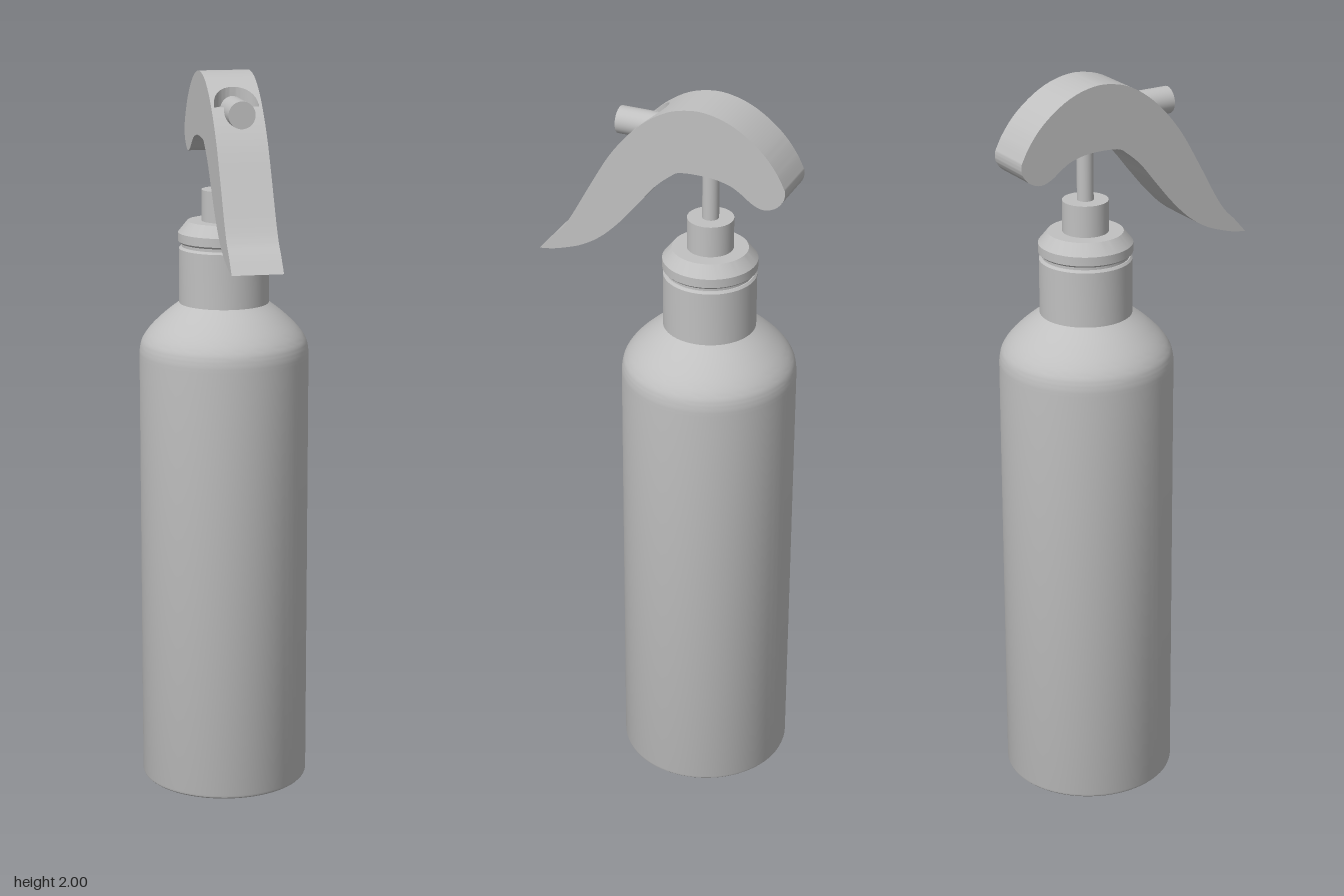
import * as THREE from 'three';
import { toCreasedNormals } from 'three/addons/utils/BufferGeometryUtils.js';

const AXIS_Z = -0.115; // bottle axis
const HALF = 0.068;    // half width of the trigger head
const POCKET = { z: 0.066, y: 1.918, r: 0.06 }; // round pocket around the nozzle

const vec = ([x, y]) => new THREE.Vector2(x, y);
const spline = (pts, n) => new THREE.SplineCurve(pts.map(vec)).getPoints(n);

// Outlines of the head as [z, y]
const topCurve = spline([
  [0.346, 1.527], [0.31, 1.568], [0.278, 1.6], [0.246, 1.648], [0.193, 1.743], [0.14, 1.833],
  [0.087, 1.9], [0.034, 1.949], [-0.02, 1.982], [-0.07, 1.997], [-0.12, 2], [-0.177, 1.987],
  [-0.23, 1.96], [-0.283, 1.917], [-0.32, 1.87], [-0.342, 1.828],
], 90);
const lowCurve = spline([
  [-0.342, 1.828], [-0.34, 1.803], [-0.32, 1.777], [-0.288, 1.765], [-0.257, 1.774], [-0.22, 1.8],
  [-0.188, 1.816], [-0.135, 1.826], [-0.06, 1.824], [-0.03, 1.808], [0.013, 1.77], [0.06, 1.712],
  [0.114, 1.648], [0.167, 1.597], [0.22, 1.563], [0.272, 1.543], [0.31, 1.532],
], 80);

// Height of the upper outline at a given z
function topY(z) {
  const i = topCurve.findIndex((p) => p.x <= z);
  const a = topCurve[i - 1], b = topCurve[i];
  return a.y + ((z - a.x) / (b.x - a.x)) * (b.y - a.y);
}

// Head cross-section at x, with the pocket cut down to its flat floor
function section(x) {
  const { z, y, r } = POCKET;
  const wall = z - Math.sqrt(Math.max(0, r * r - x * x));
  const end = z - r - 0.005;
  const pts = topCurve.filter((p) => p.x > z + 0.002);
  pts.push(vec([z, topY(z)]), vec([wall, wall < z ? y : topY(z)]));
  for (let k = 0; k <= 10; k++) {
    const s = wall + (end - wall) * (k / 10);
    pts.push(vec([s, topY(s)]));
  }
  return [...pts, ...topCurve.filter((p) => p.x < end - 0.001), ...lowCurve.slice(1)];
}

// Skin lofted through the sections from one side to the other
function headSkin() {
  const xs = [-HALF];
  for (let i = 0; i <= 32; i++) xs.push(-POCKET.r * Math.cos((Math.PI * i) / 32));
  xs.push(HALF);
  const rings = xs.map((x) => section(x).map((p) => new THREE.Vector3(x, p.y, p.x)));
  const pos = [];
  const tri = (a, b, c) => {
    if (new THREE.Triangle(a, b, c).getArea() > 1e-10) {
      for (const v of [a, b, c]) pos.push(v.x, v.y, v.z);
    }
  };
  for (let i = 0; i < rings.length - 1; i++) {
    const A = rings[i], B = rings[i + 1], n = A.length;
    for (let j = 0; j < n; j++) {
      const k = (j + 1) % n;
      tri(A[j], B[j], A[k]);
      tri(B[j], B[k], A[k]);
    }
  }
  const geo = new THREE.BufferGeometry();
  geo.setAttribute('position', new THREE.Float32BufferAttribute(pos, 3));
  return toCreasedNormals(geo, 0.5);
}

// Flat side of the head
function headSide(side) {
  const shape = new THREE.Shape(section(HALF).map((p) => vec([-side * p.x, p.y])));
  return new THREE.ShapeGeometry(shape).rotateY((side * Math.PI) / 2).translate(side * HALF, 0, 0);
}

const lathe = (pts) =>
  toCreasedNormals(new THREE.LatheGeometry(pts, 72), 0.4).translate(0, 0, AXIS_Z);

export function createModel() {
  const model = new THREE.Group();
  model.name = 'sprayBottle';
  const grey = new THREE.MeshStandardMaterial({ color: 0xc0c0c0 });
  grey.name = 'lightGrey';
  const add = (name, geo, parent = model) => {
    const mesh = new THREE.Mesh(geo, grey);
    mesh.name = name;
    parent.add(mesh);
  };

  // Body with rounded foot and shoulder
  const shoulder = spline([
    [0.233, 1.215], [0.232, 1.24], [0.225, 1.268], [0.203, 1.3], [0.165, 1.337], [0.123, 1.37],
  ], 24);
  const foot = [[0, 0], [0.222, 0], [0.227, 0.002], [0.231, 0.006], [0.233, 0.012]].map(vec);
  add('bottleBody', lathe([...foot, ...shoulder, vec([0.123, 1.376]), vec([0, 1.376])]));

  // Neck, groove and chamfered collar
  add('neckAndCollar', lathe([
    [0, 1.37], [0.123, 1.37], [0.123, 1.52], [0.118, 1.526], [0.115, 1.526], [0.115, 1.535],
    [0.12, 1.535], [0.125, 1.54], [0.125, 1.564], [0.1, 1.595], [0, 1.595],
  ].map(vec)));

  // Pump plug and stem
  add('pumpPlug', new THREE.CylinderGeometry(0.061, 0.061, 0.09, 48).translate(0, 1.635, AXIS_Z));
  add('pumpStem', new THREE.CylinderGeometry(0.022, 0.022, 0.19, 32).translate(0, 1.755, AXIS_Z));

  // Trigger head
  const head = new THREE.Group();
  head.name = 'triggerHead';
  model.add(head);
  add('headSkin', headSkin(), head);
  add('headLeftSide', headSide(1), head);
  add('headRightSide', headSide(-1), head);

  // Nozzle
  add('nozzle', new THREE.CylinderGeometry(0.036, 0.036, 0.156, 40)
    .rotateX(Math.PI / 2).translate(0, 1.908, 0.059));

  return model;
}
